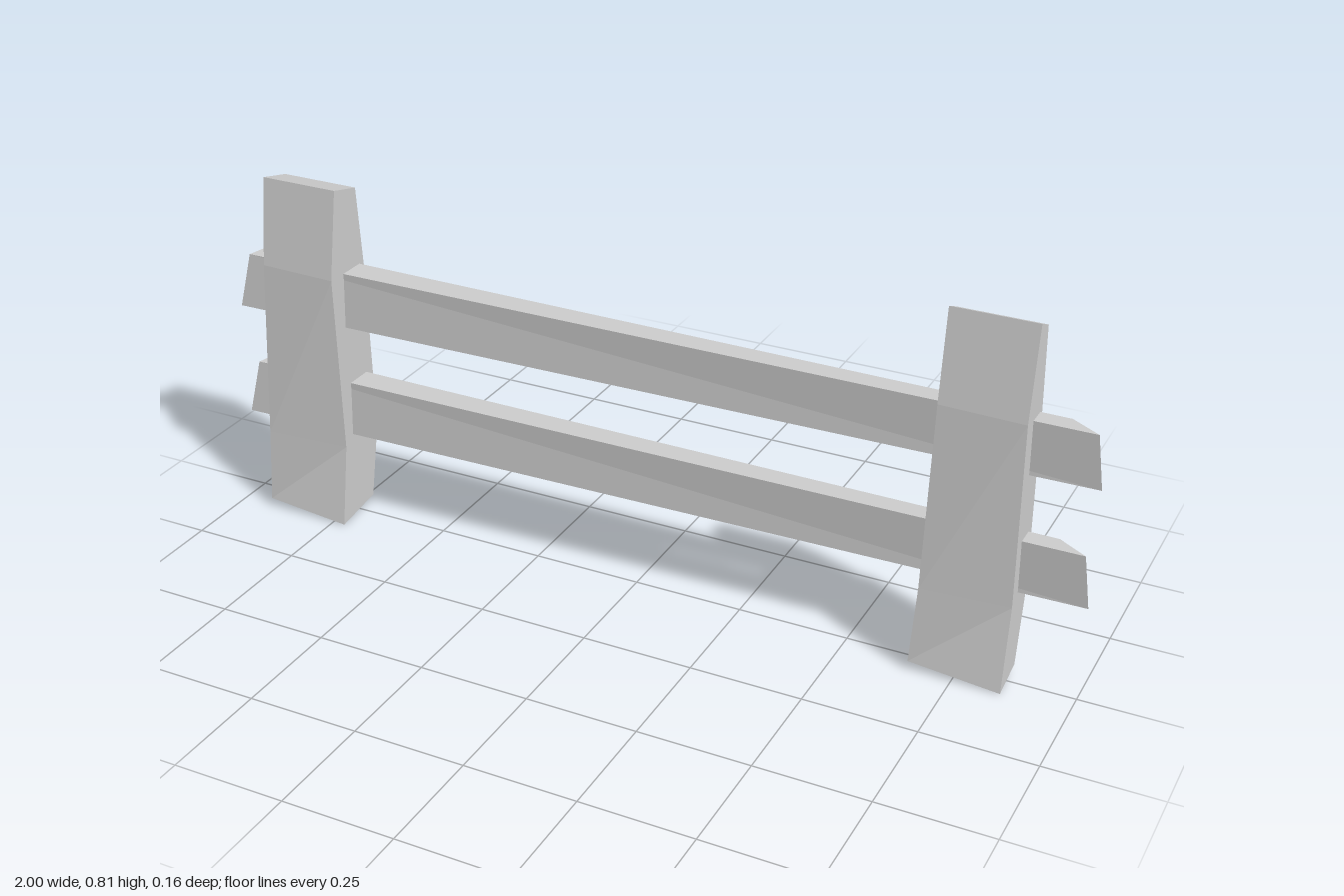
import * as THREE from 'three';

const material = new THREE.MeshStandardMaterial({ color: 0xcccccc, flatShading: true });

// Skin a run of four-cornered sections, with a cap on each end
function loft(name, sections) {
  const index = [];
  const last = (sections.length - 1) * 4;
  for (let s = 0; s < sections.length - 1; s++) {
    for (let i = 0; i < 4; i++) {
      const a = s * 4 + i, b = s * 4 + (i + 1) % 4;
      index.push(a, b, b + 4, a, b + 4, a + 4);
    }
  }
  index.push(0, 2, 1, 0, 3, 2, last, last + 1, last + 2, last, last + 2, last + 3);
  const indexed = new THREE.BufferGeometry();
  indexed.setAttribute('position', new THREE.Float32BufferAttribute(sections.flat(2), 3));
  indexed.setIndex(index);
  const geometry = indexed.toNonIndexed();
  geometry.computeVertexNormals();
  const mesh = new THREE.Mesh(geometry, material);
  mesh.name = name;
  return mesh;
}

// Hewn post; corners run front left, front right, back right, back left as seen from the front
function makePost(name, x, frontShift, backShift) {
  const section = (left, ys, zs) => [left, 0.093, 0.093, left].map((dx, i) =>
    [x + dx, ys[i], zs[i] + (i < 2 ? frontShift : backShift)]);
  return loft(name, [
    section(-0.108, [0.02, 0, 0.018, 0.03], [0.08, 0.08, -0.045, -0.045]),
    section(-0.096, [0.2, 0.19, 0.19, 0.2], [0.08, 0.05, -0.08, -0.052]),
    section(-0.092, [0.61, 0.61, 0.6, 0.6], [0.055, 0.062, -0.067, -0.067]),
    section(-0.092, [0.81, 0.81, 0.79, 0.79], [0.028, 0.028, -0.052, -0.052]),
  ]);
}

// Split rail: thick at one end, a thin wedge at the other
function makeRail(name, y) {
  return loft(name, [
    [[-1, y, 0.025], [-0.85, y + 0.005, -0.058], [-0.955, y + 0.13, -0.05], [-0.97, y + 0.13, 0.018]],
    [[1, y, -0.012], [1, y, -0.012], [0.92, y + 0.122, -0.047], [0.985, y + 0.122, -0.005]],
  ]);
}

export function createModel() {
  const group = new THREE.Group();
  group.name = 'fence';

  group.add(makePost('rightPost', -0.813, 0, 0));
  group.add(makePost('leftPost', 0.762, -0.028, 0.006));
  group.add(makeRail('lowerRail', 0.21));
  group.add(makeRail('upperRail', 0.48));

  // Faceted peg heads on the backs of the posts
  for (const [x, y, z] of [
    [-0.81, 0.545, -0.07], [-0.81, 0.28, -0.07],
    [0.765, 0.54, -0.064], [0.765, 0.28, -0.064],
  ]) {
    const peg = new THREE.Mesh(new THREE.CylinderGeometry(0.012, 0.024, 0.02, 6), material);
    peg.name = 'peg';
    peg.rotation.x = -Math.PI / 2;
    peg.position.set(x, y, z);
    group.add(peg);
  }
  return group;
}
